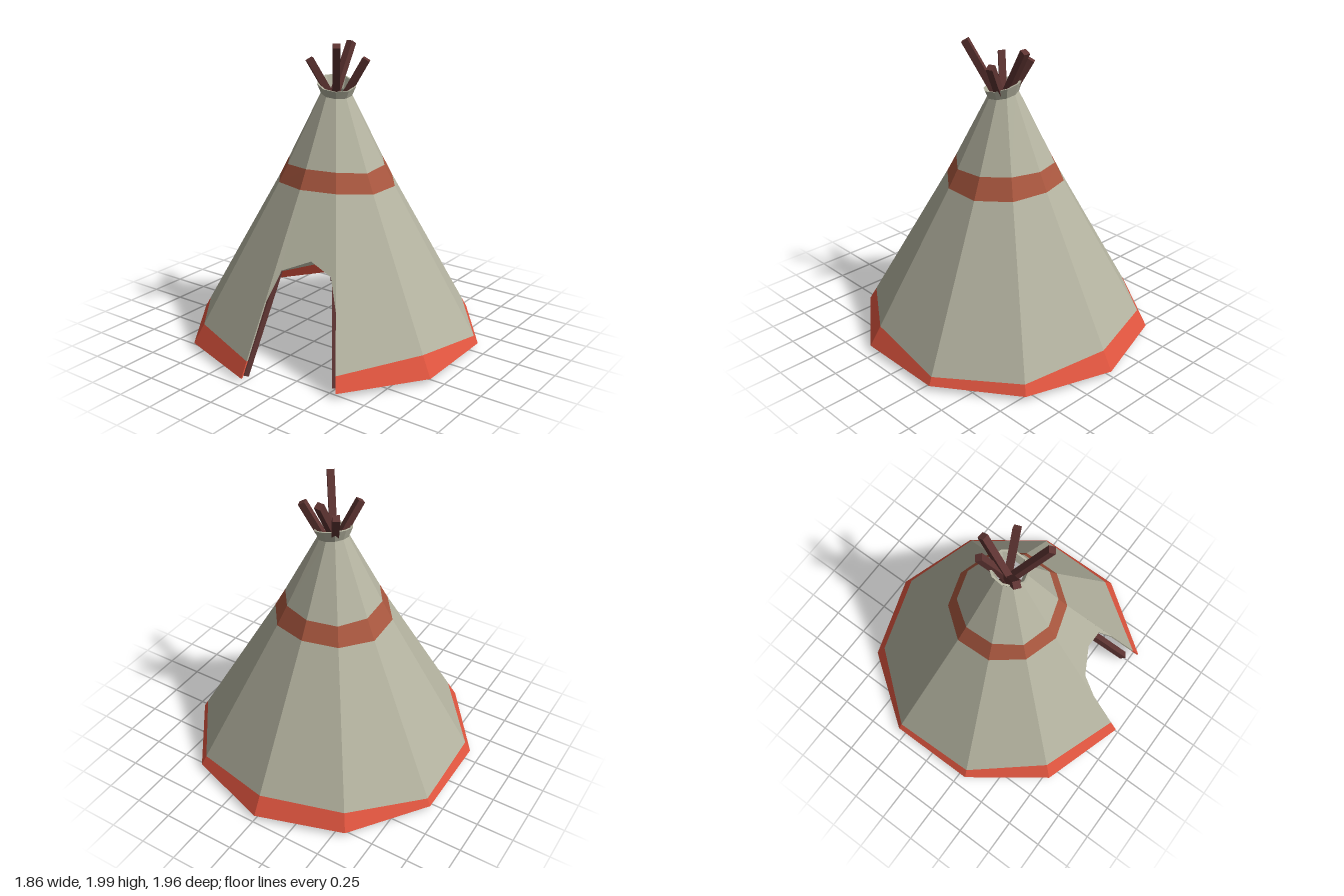
import * as THREE from 'three';
import { mergeGeometries } from 'three/addons/utils/BufferGeometryUtils.js';

const SIDES = 10, THICK = 0.014, BASE = 0.04;
// Cone profile as [height, corner radius]
const PROFILE = [[BASE, 0.98], [1.08, 0.39], [1.2, 0.327], [1.65, 0.1], [1.8, 0.03]];
// Uneven painted edges, one height per corner, going round from the front towards +x
const hemTop = [0.135, 0.13, 0.17, 0.09, 0.105, 0.165, 0.155, 0.09, 0.11, 0.165];
const bandLow = [1.095, 1.09, 1.068, 1.065, 1.075, 1.09, 1.08, 1.07, 1.08, 1.09];
const bandHigh = [1.215, 1.21, 1.19, 1.2, 1.21, 1.21, 1.2, 1.205, 1.215, 1.205];

const angle = i => (i / SIDES) * Math.PI * 2;
const neckY = i => 1.65 - 0.018 * Math.sin(angle(i)) - 0.012 * Math.cos(angle(i));
const rimY = i => 1.715 - 0.028 * Math.sin(angle(i)) - 0.024 * Math.cos(angle(i));

function radius(y) {
  let k = 0;
  while (k < PROFILE.length - 2 && y > PROFILE[k + 1][0]) k++;
  const [y0, r0] = PROFILE[k], [y1, r1] = PROFILE[k + 1];
  return r0 + (r1 - r0) * (y - y0) / (y1 - y0);
}

// Point on the cover at corner i; z runs from 0 (inside) to THICK (outside)
function coneCorner(i, y, z) {
  const r = radius(y) - THICK + z;
  return new THREE.Vector3(r * Math.sin(angle(i)), y, r * Math.cos(angle(i)));
}

// Flared collar: t runs from the neck (0) to the rim (1)
function collarCorner(i, t, z) {
  const r = radius(neckY(i)) + 0.026 * t - THICK + z;
  const y = THREE.MathUtils.lerp(neckY(i), rimY(i), t);
  return new THREE.Vector3(r * Math.sin(angle(i)), y, r * Math.cos(angle(i)));
}

// Solid panel: an outline in (across, height), bent onto side i
function slab(i, outline, corner = coneCorner) {
  const shape = new THREE.Shape(outline.map(([u, y]) => new THREE.Vector2(u, y)));
  const geo = new THREE.ExtrudeGeometry(shape, { depth: THICK, bevelEnabled: false });
  const p = geo.attributes.position;
  for (let k = 0; k < p.count; k++) {
    const u = p.getX(k), y = p.getY(k), z = p.getZ(k);
    const v = corner(i, y, z).lerp(corner(i + 1, y, z), u);
    p.setXYZ(k, v.x, v.y, v.z);
  }
  geo.computeVertexNormals();
  return geo;
}

function material(color) {
  return new THREE.MeshStandardMaterial({ color, flatShading: true, side: THREE.DoubleSide });
}

export function createModel() {
  const group = new THREE.Group();
  const add = (name, geo, mat) => {
    const mesh = new THREE.Mesh(geo, mat);
    mesh.name = name;
    group.add(mesh);
    return mesh;
  };
  const canvas = material(0xb4b3a0), red = material(0xe0553f);
  const rust = material(0xa9573f), wood = material(0x5e3432);

  const cover = [], hem = [], band = [], collar = [];
  for (let i = 0; i < SIDES; i++) {
    const j = (i + 1) % SIDES;
    const quad = (a, b, c, d) => [[0, a], [1, b], [1, c], [0, d]];
    if (i === 0) {
      // Doorway side: arched opening, no hem
      cover.push(slab(i, [[0, 0.46], [0.095, 0.64], [0.57, 0.71], [0.92, 0.64],
        [1, 0.46], [1, bandLow[j]], [0, bandLow[i]]]));
    } else {
      hem.push(slab(i, quad(BASE, BASE, hemTop[j], hemTop[i])));
      cover.push(slab(i, quad(hemTop[i], hemTop[j], bandLow[j], bandLow[i])));
    }
    band.push(slab(i, quad(bandLow[i], bandLow[j], bandHigh[j], bandHigh[i])));
    cover.push(slab(i, quad(bandHigh[i], bandHigh[j], neckY(j), neckY(i))));
    collar.push(slab(i, quad(0, 0, 1, 1), collarCorner));
  }
  add('canvasCover', mergeGeometries(cover), canvas);
  add('paintedHem', mergeGeometries(hem), red);
  add('paintedBand', mergeGeometries(band), rust);
  add('smokeCollar', mergeGeometries(collar), canvas);

  // Square poles crossing at the neck: [foot, tip]
  const poles = [
    [[-0.53, 0.015, -0.69], [0.15, 1.985, 0.2]],
    [[-0.05, 0.015, 0.9], [-0.005, 1.955, -0.175]],
    [[-0.82, 0.015, 0.28], [0.185, 1.875, -0.07]],
    [[0.51, 0.015, 0.7], [-0.1, 1.88, -0.135]],
    [[0.56, 0.015, -0.69], [-0.105, 1.875, 0.14]],
  ];
  poles.forEach(([foot, tip], k) => {
    const a = new THREE.Vector3(...foot), b = new THREE.Vector3(...tip);
    const pole = add('pole' + (k + 1), new THREE.BoxGeometry(0.046, 0.046, a.distanceTo(b)), wood);
    pole.position.copy(a).lerp(b, 0.5);
    pole.lookAt(b);
  });
  return group;
}
